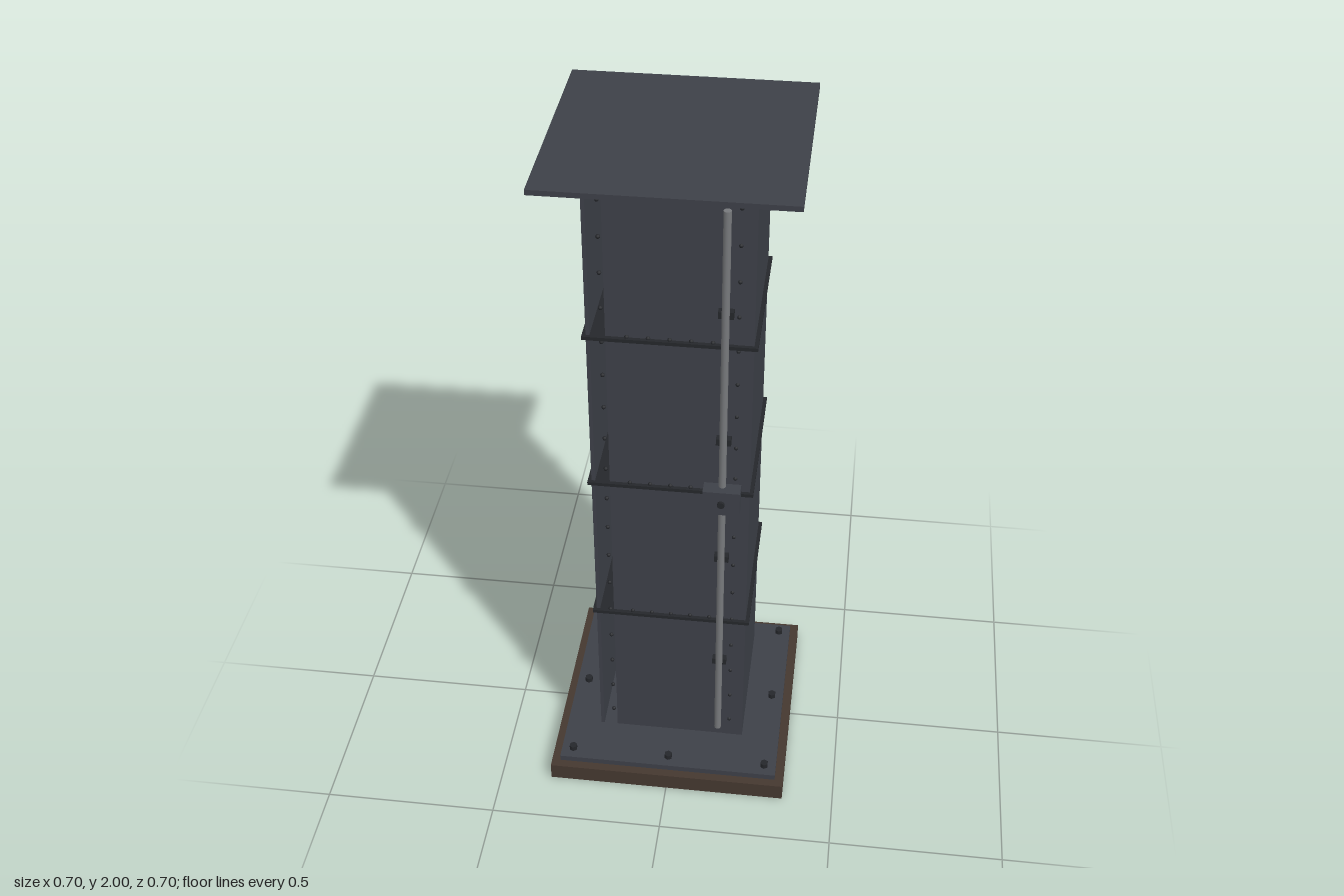
import * as THREE from 'three';

export function createModel() {
  const root = new THREE.Group();
  const mat = (color) => new THREE.MeshStandardMaterial({ color });
  const steel = mat(0x3d4048), dark = mat(0x25272b), pipe = mat(0x77797c), brown = mat(0x45382f);

  const add = (name, geo, material, x, y, z, parent = root) => {
    const m = new THREE.Mesh(geo, material);
    m.name = name;
    m.position.set(x, y, z);
    parent.add(m);
    return m;
  };
  const box = (name, w, h, d, material, x, y, z, parent) =>
    add(name, new THREE.BoxGeometry(w, h, d), material, x, y, z, parent);
  const group = (name) => {
    const g = new THREE.Group();
    g.name = name;
    root.add(g);
    return g;
  };

  // Footing, base plate and cap plate
  box('footing', 0.7, 0.052, 0.7, brown, 0, 0.026, 0);
  box('basePlate', 0.65, 0.018, 0.65, steel, 0, 0.061, 0);
  box('capPlate', 0.65, 0.014, 0.65, steel, 0, 1.993, 0);

  // Hexagonal anchor bolts around the base plate
  const bolts = group('anchorBolts');
  const boltGeo = new THREE.CylinderGeometry(0.012, 0.012, 0.015, 6);
  for (const x of [-0.29, 0, 0.29]) for (const z of [-0.29, 0, 0.29]) {
    if (x || z) add('anchorBolt', boltGeo, dark, x, 0.0775, z, bolts);
  }

  // Column walls
  const bottom = 0.115, top = 1.986, h = top - bottom, mid = (top + bottom) / 2, t = 0.01;
  const walls = group('columnWalls');
  for (const s of [-1, 1]) {
    box('facePanel', 0.33, h, t, steel, 0, mid, s * 0.209, walls);
    box('sidePanel', t, h, 0.33, steel, s * 0.21, mid, 0, walls);
    // Corner angles: side legs on every corner, face legs on one diagonal
    for (const e of [-1, 1]) box('angleSideLeg', t, h, 0.05, steel, s * 0.21, mid, e * 0.19, walls);
    box('angleFaceLeg', 0.05, h, t, steel, s * 0.19, mid, s * 0.21, walls);
  }

  // Horizontal stiffener plates with small rivets along their front and back rims
  const stiffeners = group('stiffeners');
  const rivetGeo = new THREE.SphereGeometry(0.006, 8, 6);
  for (const y of [0.585, 1.056, 1.528]) {
    box('stiffenerPlate', 0.45, 0.01, 0.45, dark, 0, y, 0, stiffeners);
    for (const s of [-1, 1]) for (let i = -2; i <= 2; i++) {
      add('rimRivet', rivetGeo, dark, i * 0.055, y + 0.007, s * 0.215, stiffeners);
    }
  }

  // Vertical rivet rows
  const rivets = group('rivetRows');
  for (const x of [-0.175, 0.175]) for (const z of [-0.214, 0.214]) for (let i = 0; i < 18; i++) {
    add('rivet', rivetGeo, dark, x, 0.18 + i * 0.1026, z, rivets);
  }

  // Conduit with clips and junction box on the front
  const conduit = group('conduit');
  add('conduitPipe', new THREE.CylinderGeometry(0.01, 0.01, 1.76, 12), pipe, 0.143, 1.05, 0.24, conduit);
  for (const y of [0.435, 0.83, 1.235, 1.63]) {
    box('conduitClip', 0.04, 0.02, 0.02, dark, 0.143, y, 0.224, conduit);
  }
  box('junctionBox', 0.1, 0.075, 0.042, steel, 0.143, 1.058, 0.25, conduit);
  const knob = add('boxKnob', new THREE.CylinderGeometry(0.01, 0.01, 0.008, 12), dark, 0.143, 1.058, 0.275, conduit);
  knob.rotation.x = Math.PI / 2;

  return root;
}
